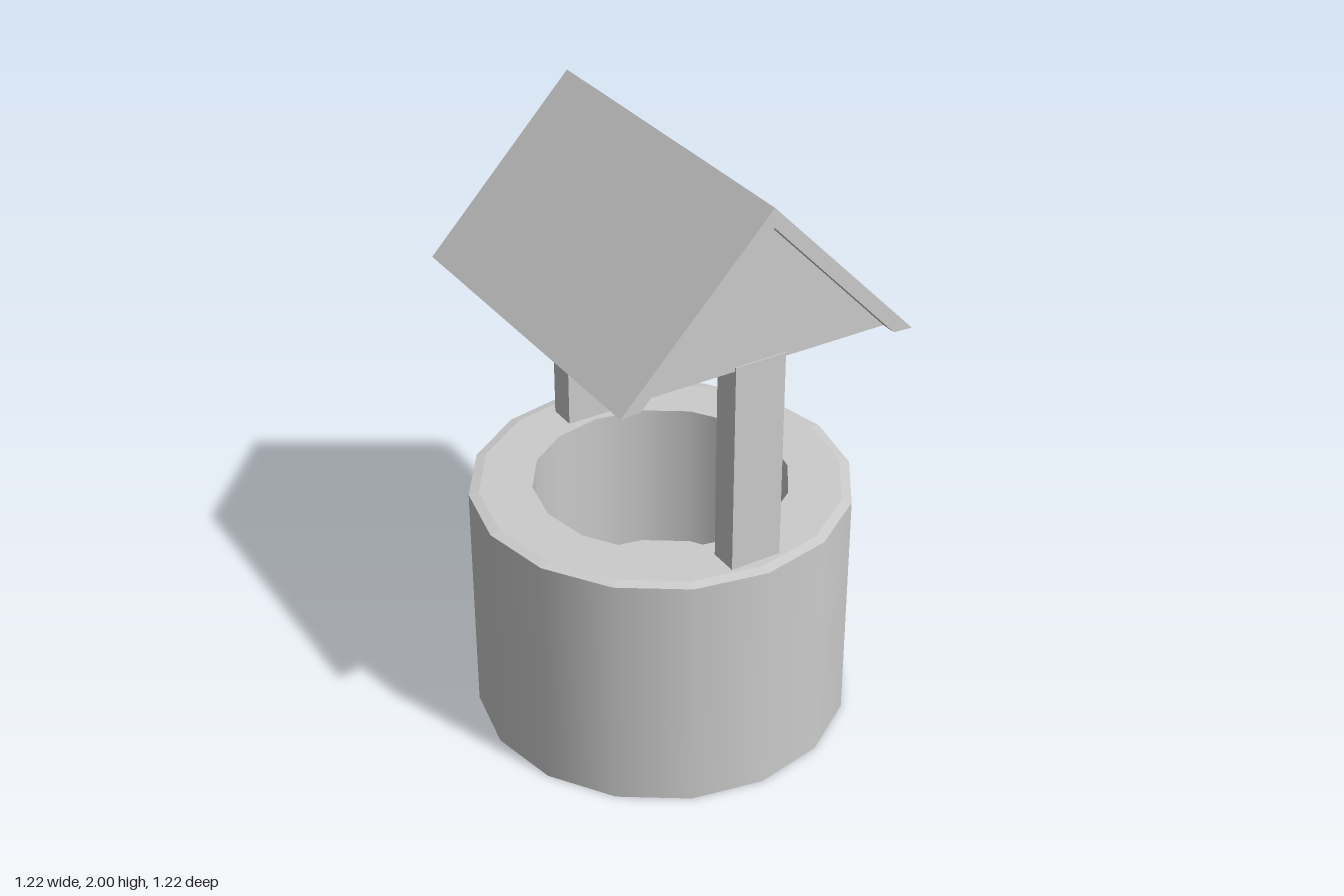
import * as THREE from 'three';

const SIDES = 16;
const grey = new THREE.MeshStandardMaterial({ color: 0xcccccc, side: THREE.DoubleSide });
const greyFlat = new THREE.MeshStandardMaterial({ color: 0xcccccc, side: THREE.DoubleSide, flatShading: true });

function add(parent, name, geometry, material = greyFlat) {
  const mesh = new THREE.Mesh(geometry, material);
  mesh.name = name;
  parent.add(mesh);
  return mesh;
}

// Surface of revolution through [radius, height] pairs
function ring(points) {
  return new THREE.LatheGeometry(points.map(([r, y]) => new THREE.Vector2(r, y)), SIDES);
}

// Polygon in x/y, extruded from z0 to z1
function prism(points, z0, z1) {
  const shape = new THREE.Shape(points.map(([x, y]) => new THREE.Vector2(x, y)));
  const geometry = new THREE.ExtrudeGeometry(shape, { depth: z1 - z0, bevelEnabled: false });
  return geometry.translate(0, 0, z0);
}

export function createModel() {
  const well = new THREE.Group();
  well.name = 'well';

  // Hollow wall, open underneath, with a slightly bevelled rim
  const base = new THREE.Group();
  base.name = 'base';
  well.add(base);
  add(base, 'outerWall', ring([[0.612, 0], [0.612, 0.805]]), grey);
  add(base, 'rimBevel', ring([[0.612, 0.805], [0.58, 0.812]]));
  add(base, 'rimTop', ring([[0.58, 0.812], [0.41, 0.812]]));
  add(base, 'innerWall', ring([[0.41, 0.812], [0.43, 0]]), grey);

  // Disc closing the shaft
  const floor = add(base, 'shaftFloor', new THREE.CircleGeometry(0.423, SIDES));
  floor.rotation.x = -Math.PI / 2;
  floor.position.y = 0.28;

  // Posts standing on the rim
  for (const [name, z] of [['frontPost', 0.502], ['backPost', -0.478]]) {
    const post = add(well, name, new THREE.BoxGeometry(0.17, 0.7, 0.095));
    post.position.set(-0.005, 1.155, z);
  }

  // Roof: two joined slopes, hollow inside
  const roof = new THREE.Group();
  roof.name = 'roof';
  well.add(roof);
  add(roof, 'roofSlopes', prism([
    [-0.495, 1.487], [-0.43, 1.49], [-0.003, 1.94],
    [0.43, 1.49], [0.495, 1.487], [-0.003, 2],
  ], -0.547, 0.593));

  // Triangular gable panels set in from the roof ends
  const gable = [[-0.44, 1.492], [0.44, 1.492], [-0.003, 1.95]];
  add(roof, 'frontGable', prism(gable, 0.5, 0.545));
  add(roof, 'backGable', prism(gable, -0.515, -0.47));

  return well;
}
